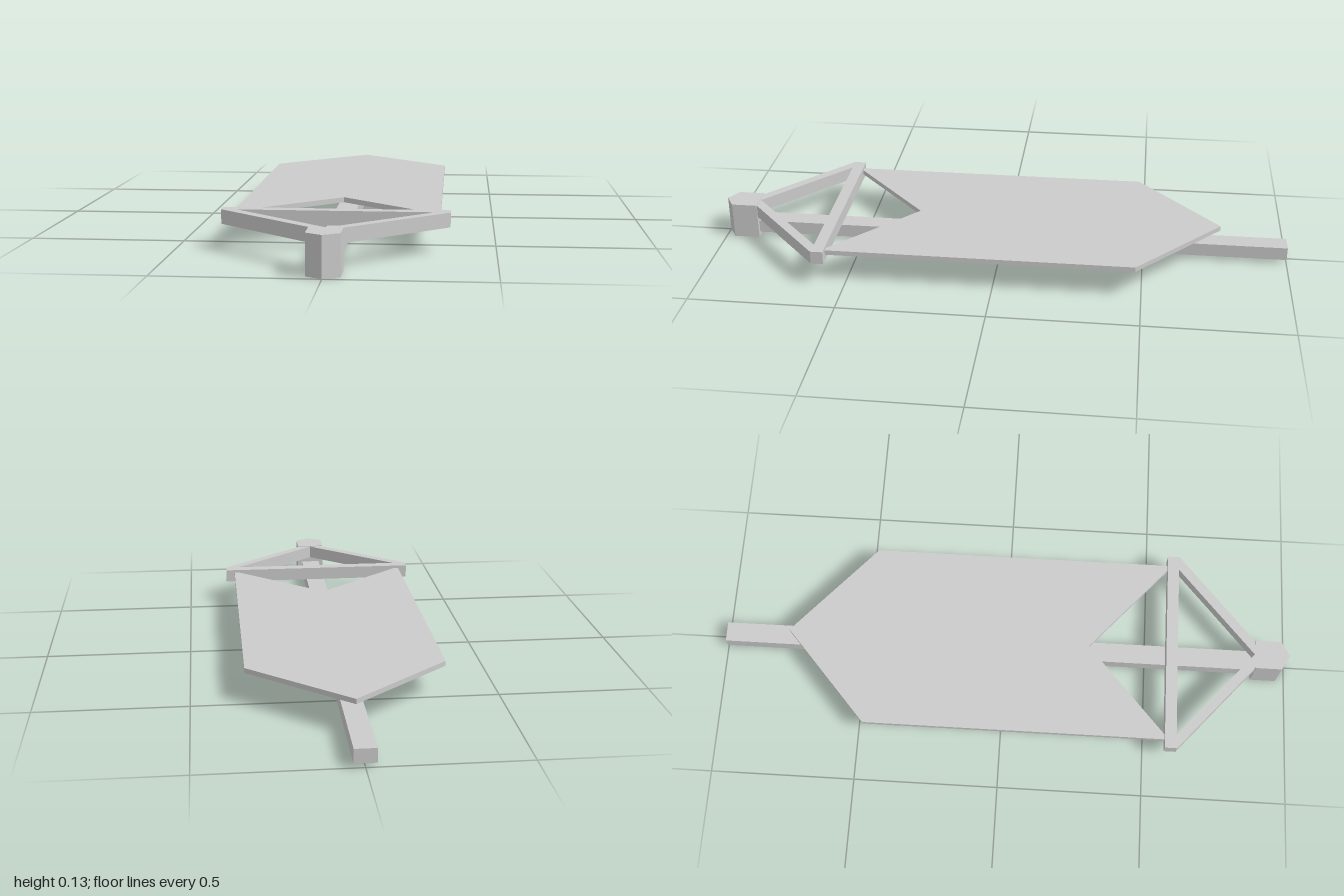
import * as THREE from 'three';

const material = new THREE.MeshStandardMaterial({ color: 0xcccccc, flatShading: true });

// Mirror a half outline, given as [x, z] from front to back, across x = 0
function mirrored(half) {
  const other = half.filter(([x]) => x > 0).reverse().map(([x, z]) => [-x, z]);
  return [...half, ...other];
}

// Plan-view points; z runs against the shape's y so the slab lies flat
const plan = (points) => points.map(([x, z]) => new THREE.Vector2(x, -z));

// Slab with a plan outline between two heights
function slab(name, half, y0, y1, holeHalf) {
  const shape = new THREE.Shape(plan(mirrored(half)));
  if (holeHalf) shape.holes.push(new THREE.Path(plan(mirrored(holeHalf))));
  const geometry = new THREE.ExtrudeGeometry(shape, { depth: y1 - y0, bevelEnabled: false });
  geometry.rotateX(-Math.PI / 2);
  geometry.translate(0, y0, 0);
  const mesh = new THREE.Mesh(geometry, material);
  mesh.name = name;
  return mesh;
}

export function createModel() {
  const group = new THREE.Group();
  group.name = 'model';

  // Long square rail underneath, running from the post to the back
  const rail = new THREE.Mesh(new THREE.BoxGeometry(0.07, 0.046, 1.9), material);
  rail.name = 'rail';
  rail.position.set(0, 0.037, -0.05);
  group.add(rail);

  // Upright front post with a pointed nose
  group.add(slab('frontPost', [[0, 1], [0.051, 0.97], [0.051, 0.88]], 0, 0.127));

  // Triangular frame: crossbar and two arms meeting at the post
  group.add(slab('triangleFrame',
    [[0, 0.92], [0.05, 0.877], [0.357, 0.609], [0.357, 0.567]], 0.079, 0.125,
    [[0, 0.877], [0.308, 0.607]]));

  // Thin plate with a notched front and a pointed back
  group.add(slab('plate',
    [[0, 0.294], [0.308, 0.567], [0.325, 0.567], [0.325, -0.477], [0, -0.766]], 0.098, 0.115));

  return group;
}
